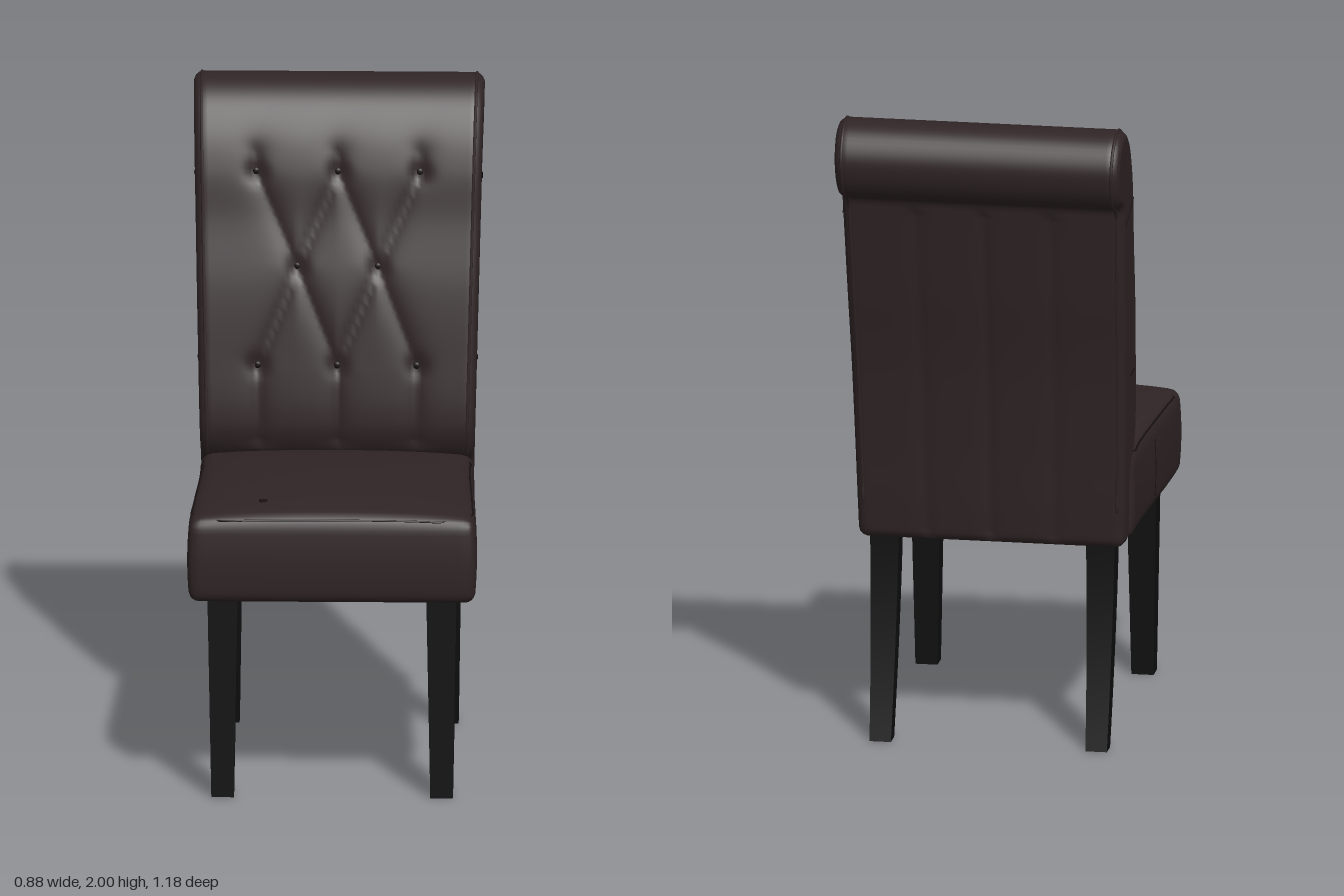
import * as THREE from 'three';
import { mergeVertices } from 'three/addons/utils/BufferGeometryUtils.js';

const mat = (name, color, side = THREE.FrontSide) => {
  const m = new THREE.MeshStandardMaterial({ color, side });
  m.name = name;
  return m;
};

// Backrest side outline as (z, y), starting at the bottom front and going up
const PROFILE = [
  [-.205, .63], [-.195, .66], [-.195, .85], [-.15, .89], [-.122, .95], [-.12, 1.02], [-.145, 1.2],
  [-.182, 1.4], [-.235, 1.6], [-.268, 1.75], [-.31, 1.86], [-.37, 1.95], [-.43, 1.99], [-.485, 2],
  [-.55, 1.97], [-.588, 1.9], [-.58, 1.83], [-.545, 1.775], [-.5, 1.755], [-.47, 1.745], [-.46, 1.7],
  [-.42, 1.45], [-.375, 1.2], [-.345, .95], [-.32, .7], [-.31, .64], [-.295, .63],
];

// Tuft buttons and the creases that join them, as (x, y)
const BUTTONS = [[-.25, 1.74], [0, 1.74], [.25, 1.74], [-.125, 1.46], [.125, 1.46], [-.25, 1.165], [0, 1.165], [.25, 1.165]];
const CREASES = [];
for (const s of [-1, 1]) for (const x of [0, .25]) for (const y of [1.74, 1.165]) CREASES.push([s * x, y, s * .125, 1.46]);
for (const x of [-.25, 0, .25]) CREASES.push([x, 1.165, x, .93], [x, 1.74, x, 1.8]);

function segmentDistance(x, y, [ax, ay, bx, by]) {
  const dx = bx - ax, dy = by - ay;
  const t = THREE.MathUtils.clamp(((x - ax) * dx + (y - ay) * dy) / (dx * dx + dy * dy), 0, 1);
  return Math.hypot(x - ax - t * dx, y - ay - t * dy);
}

function tuftDepth(x, y) {
  const crease = Math.min(...CREASES.map(c => segmentDistance(x, y, c)));
  const button = Math.min(...BUTTONS.map(b => Math.hypot(x - b[0], y - b[1])));
  return .014 * Math.exp(-crease / .03) + .012 * Math.exp(-((button / .028) ** 2));
}

const backWidth = y => THREE.MathUtils.mapLinear(y, .63, 1.85, .935, 1);

// Evenly spaced outline points with outward normals
function backOutline(n) {
  const curve = new THREE.CatmullRomCurve3(PROFILE.map(([z, y]) => new THREE.Vector3(0, y, z)), true, 'centripetal');
  const pts = curve.getSpacedPoints(n).slice(0, n);
  return pts.map((p, j) => {
    const a = pts[(j + n - 1) % n], b = pts[(j + 1) % n];
    const len = Math.hypot(b.y - a.y, b.z - a.z);
    return { y: p.y, z: p.z, nz: (b.y - a.y) / len, ny: -(b.z - a.z) / len };
  });
}

// Backrest: outline swept across x, with rounded sides, tufted front and channelled rear
function backGeometry(outline) {
  const n = outline.length, pos = [], idx = [];
  const edge = [[.437, .026], [.432, .013], [.422, .004]];
  const stations = edge.map(([x, inset]) => [-x, inset]);
  for (let i = 0; i <= 64; i++) stations.push([-.408 + .816 * i / 64, 0]);
  stations.push(...edge.map(([x, inset]) => [x, inset]).reverse());

  const ring = ([x, inset]) => outline.forEach(p => {
    let d = inset;
    if (p.nz > .3 && p.y > .92 && p.y < 1.93) d += tuftDepth(x, p.y);
    if (p.nz < -.8 && p.y < 1.72) {
      const seam = Math.min(Math.abs(x), Math.abs(Math.abs(x) - .21));
      d += .009 * Math.exp(-seam / .022);
    }
    pos.push(x * backWidth(p.y), p.y - p.ny * d, p.z - p.nz * d);
  });

  stations.forEach(ring);
  for (let i = 0; i < stations.length - 1; i++) {
    for (let j = 0; j < n; j++) {
      const a = i * n + j, b = i * n + (j + 1) % n;
      idx.push(a, a + n, b, a + n, b + n, b);
    }
  }
  // side caps
  for (const s of [stations[0], stations[stations.length - 1]]) {
    const base = pos.length / 3;
    ring(s);
    const contour = outline.map((p, j) => new THREE.Vector2(pos[(base + j) * 3 + 2], pos[(base + j) * 3 + 1]));
    for (const [a, b, c] of THREE.ShapeUtils.triangulateShape(contour, [])) {
      if (s[0] < 0) idx.push(base + a, base + b, base + c);
      else idx.push(base + a, base + c, base + b);
    }
  }
  const g = new THREE.BufferGeometry();
  g.setAttribute('position', new THREE.Float32BufferAttribute(pos, 3));
  g.setIndex(idx);
  g.computeVertexNormals();
  return g;
}

// Seat cushion shape: local box point to final point, tapering to the rear and crowned on top
const SEAT = { w: .86, h: .26, d: .77, y: .75, z: .2 };
function shapeSeat(p) {
  const u = p.x / (SEAT.w / 2), v = p.z / (SEAT.d / 2), t = p.y / (SEAT.h / 2);
  const bulge = 1 - t * t;
  const round = Math.max(0, 1 - u * u) * Math.max(0, 1 - v * v);
  p.x *= .955 + .05 * THREE.MathUtils.smoothstep(v, -.8, .9) + .016 * bulge;
  p.z += v > .9 ? .008 * bulge : 0;
  p.y += SEAT.y + (t > 0 ? .052 * t * Math.sqrt(round) : 0);
  p.z += SEAT.z;
  return p;
}

function seatGeometry() {
  const r = .03, half = [SEAT.w / 2, SEAT.h / 2, SEAT.d / 2];
  let g = new THREE.BoxGeometry(SEAT.w, SEAT.h, SEAT.d, 50, 18, 46);
  g.deleteAttribute('uv');
  g.deleteAttribute('normal');
  g = mergeVertices(g, 1e-4);
  const pos = g.attributes.position, p = new THREE.Vector3(), c = new THREE.Vector3();
  for (let i = 0; i < pos.count; i++) {
    p.fromBufferAttribute(pos, i);
    c.set(...half.map((h, k) => THREE.MathUtils.clamp(p.getComponent(k), r - h, h - r)));
    p.sub(c).setLength(r).add(c);
    shapeSeat(p);
    pos.setXYZ(i, p.x, p.y, p.z);
  }
  g.computeVertexNormals();
  return g;
}

// Square leg following centre(t) with half-width half(t), t running from top 0 to floor 1
function legGeometry(x, centre, half) {
  const g = new THREE.BoxGeometry(2, 1, 2, 1, 12, 1), pos = g.attributes.position;
  for (let i = 0; i < pos.count; i++) {
    const t = .5 - pos.getY(i);
    pos.setXYZ(i, x + pos.getX(i) * half(t) * 1.1, .64 * (1 - t), centre(t) + pos.getZ(i) * half(t));
  }
  g.computeVertexNormals();
  return g;
}

export function createModel() {
  const leather = mat('dark brown leather', 0x2f2425);
  const wood = mat('black wood', 0x0f0f0f);
  const stitch = mat('dark stitching', 0x181112);
  const lining = mat('olive underside cloth', 0x443923);

  const model = new THREE.Group();
  model.name = 'diningChair';
  const add = (name, geometry, material) => {
    const m = new THREE.Mesh(geometry, material);
    m.name = name;
    model.add(m);
    return m;
  };
  const tube = (name, pts, r, closed = false, material = stitch) =>
    add(name, new THREE.TubeGeometry(new THREE.CatmullRomCurve3(pts, closed), pts.length * 2, r, 6, closed), material);

  // backrest with buttons
  const outline = backOutline(200);
  add('backrest', backGeometry(outline), leather);
  for (const [x, y] of BUTTONS) {
    const p = outline.filter(o => o.nz > .3).reduce((a, b) => Math.abs(b.y - y) < Math.abs(a.y - y) ? b : a);
    const b = add('tuftButton', new THREE.SphereGeometry(.011, 12, 8), stitch);
    b.scale.z = .5;
    b.position.set(x * backWidth(y), y, p.z - .024);
  }

  // piping and side seams of the backrest
  for (const s of [-1, 1]) {
    tube('backPiping', outline.filter((p, j) => j % 3 === 0 && p.y > .7)
      .map(p => new THREE.Vector3(s * .414 * backWidth(p.y), p.y - p.ny * .002, p.z - p.nz * .002)), .005, true, leather);
    for (const [z1, y1, z2, y2] of [[-.3, 1.74, -.43, 1.685], [-.205, 1.172, -.285, 1.165]]) {
      const at = (z, y) => new THREE.Vector3(s * .437 * backWidth(y), y, z);
      tube('sideSeam', [at(z1, y1), at(z2, y2)], .004);
    }
  }

  // seat cushion
  add('seat', seatGeometry(), leather);
  const seam = [];
  const hw = SEAT.w / 2 - .008, hd = SEAT.d / 2 - .008;
  const corners = [[-hw, -hd], [hw, -hd], [hw, hd], [-hw, hd]];
  corners.forEach(([x, z], k) => {
    const [x2, z2] = corners[(k + 1) % 4];
    for (let i = 1; i < 10; i++) {
      const t = i / 10;
      seam.push(shapeSeat(new THREE.Vector3(x + (x2 - x) * t, SEAT.h / 2 - .008, z + (z2 - z) * t)));
    }
  });
  tube('seatPiping', seam, .003, true);
  for (const s of [-1, 1]) {
    const pts = [-.09, -.045, 0, .045, .09].map(y => shapeSeat(new THREE.Vector3(s * SEAT.w / 2, y, -.03)));
    tube('seatSideSeam', pts, .002);
  }
  const mark = add('seatMark', new THREE.CylinderGeometry(.013, .013, .006, 16), stitch);
  mark.position.copy(shapeSeat(new THREE.Vector3(-.21, SEAT.h / 2, .27)));
  const panel = add('undersideCloth', new THREE.BoxGeometry(.68, .006, .64), lining);
  panel.position.set(0, .619, .18);

  // legs
  for (const s of [-1, 1]) {
    add('frontLeg', legGeometry(s * .332, t => .503 + .012 * t, t => .042 - .011 * t), wood);
    add('backLeg', legGeometry(s * .332, t => -.245 - .086 * t ** 1.7, t => .04 - .01 * t), wood);
  }
  return model;
}
